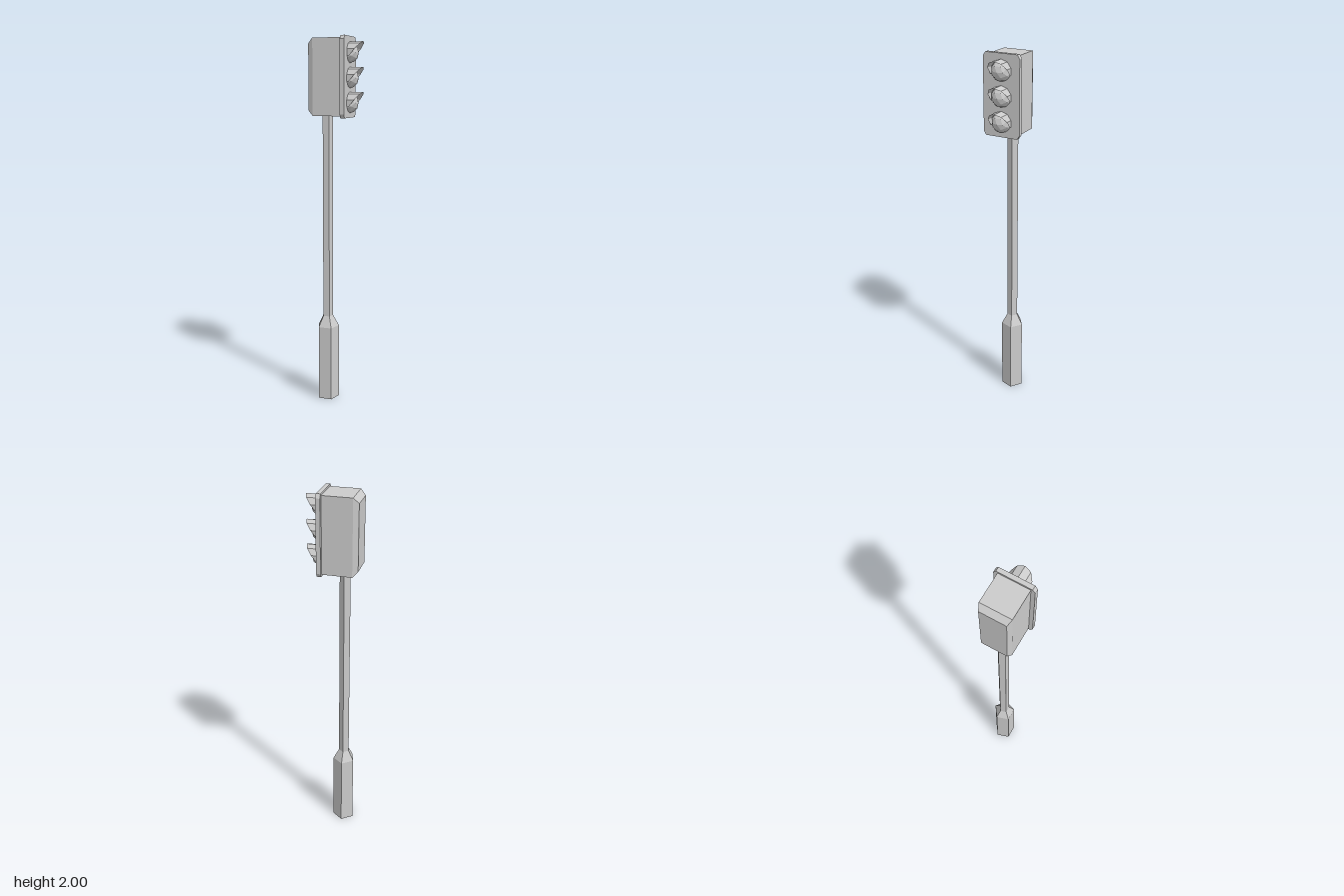
import * as THREE from 'three';

const POLE_X = -0.06;
const PLATE_BACK = 0.043, PLATE_FRONT = 0.066;
const LAMP_HEIGHTS = [1.915, 1.786, 1.657];

const material = new THREE.MeshStandardMaterial({ color: 0xcccccc, flatShading: true });
const thinMaterial = new THREE.MeshStandardMaterial({
  color: 0xcccccc, flatShading: true, side: THREE.DoubleSide,
});

function part(name, geometry, mat = material) {
  const mesh = new THREE.Mesh(geometry, mat);
  mesh.name = name;
  return mesh;
}

// Five-sided post section with a corner pointing to the back
function postSection(name, rBottom, rTop, y0, y1, open = false) {
  const geometry = new THREE.CylinderGeometry(rTop, rBottom, y1 - y0, 5, 1, open);
  geometry.rotateY(Math.PI);
  geometry.translate(POLE_X, (y0 + y1) / 2, 0);
  return part(name, geometry);
}

// Box whose rear end narrows on all four sides
function housingGeometry() {
  const geometry = new THREE.BoxGeometry(2, 2, 2, 2, 1, 1);
  const pos = geometry.attributes.position;
  const rings = [
    { x: -0.14, h: 0.172, d: 0.069 },
    { x: -0.113, h: 0.2, d: 0.081 },
    { x: PLATE_BACK, h: 0.2, d: 0.081 },
  ];
  for (let i = 0; i < pos.count; i++) {
    const ring = rings[Math.round(pos.getX(i)) + 1];
    pos.setXYZ(i, ring.x, 1.79 + pos.getY(i) * ring.h, pos.getZ(i) * ring.d);
  }
  geometry.computeVertexNormals();
  return geometry;
}

// Upright panel with cut corners
function plateGeometry() {
  const w = 0.102, h = 0.21, cz = 0.013, cy = 0.02;
  const shape = new THREE.Shape([
    [w, h - cy], [w - cz, h], [cz - w, h], [-w, h - cy],
    [-w, cy - h], [cz - w, -h], [w - cz, -h], [w, cy - h],
  ].map(([x, y]) => new THREE.Vector2(x, y)));
  const geometry = new THREE.ExtrudeGeometry(shape, {
    depth: PLATE_FRONT - PLATE_BACK, bevelEnabled: false,
  });
  geometry.rotateY(Math.PI / 2);
  geometry.translate(PLATE_BACK, 1.79, 0);
  return geometry;
}

// Faceted hood: a part tube whose front rim is cut on a slant
function visorGeometry() {
  const r = 0.057, points = [], index = [];
  for (let i = -3; i <= 3; i++) {
    const a = i * Math.PI / 5;
    const y = r * Math.cos(a), z = r * Math.sin(a);
    const reach = Math.max(0.002, 0.074 - 0.85 * (r - y));
    points.push(0, y, z, reach, y, z);
  }
  for (let i = 0; i < 6; i++) {
    const k = i * 2;
    index.push(k, k + 2, k + 1, k + 1, k + 2, k + 3);
  }
  const geometry = new THREE.BufferGeometry();
  geometry.setAttribute('position', new THREE.Float32BufferAttribute(points, 3));
  geometry.setIndex(index);
  geometry.computeVertexNormals();
  return geometry;
}

export function createModel() {
  const model = new THREE.Group();
  model.name = 'trafficLight';

  // Post
  model.add(postSection('postBase', 0.062, 0.062, 0, 0.42));
  model.add(postSection('postCollar', 0.062, 0.03, 0.42, 0.48, true));
  model.add(postSection('post', 0.03, 0.03, 0.48, 1.6));

  // Signal head
  model.add(part('housing', housingGeometry()));
  model.add(part('frontPlate', plateGeometry()));

  // Lamps with their hoods
  const names = ['upperLamp', 'middleLamp', 'lowerLamp'];
  LAMP_HEIGHTS.forEach((y, i) => {
    const lamp = new THREE.Group();
    lamp.name = names[i];
    lamp.position.set(PLATE_FRONT, y, 0);
    const lens = part('lens', new THREE.IcosahedronGeometry(0.054, 1));
    lens.position.x = -0.007;
    lamp.add(lens, part('visor', visorGeometry(), thinMaterial));
    model.add(lamp);
  });

  return model;
}
